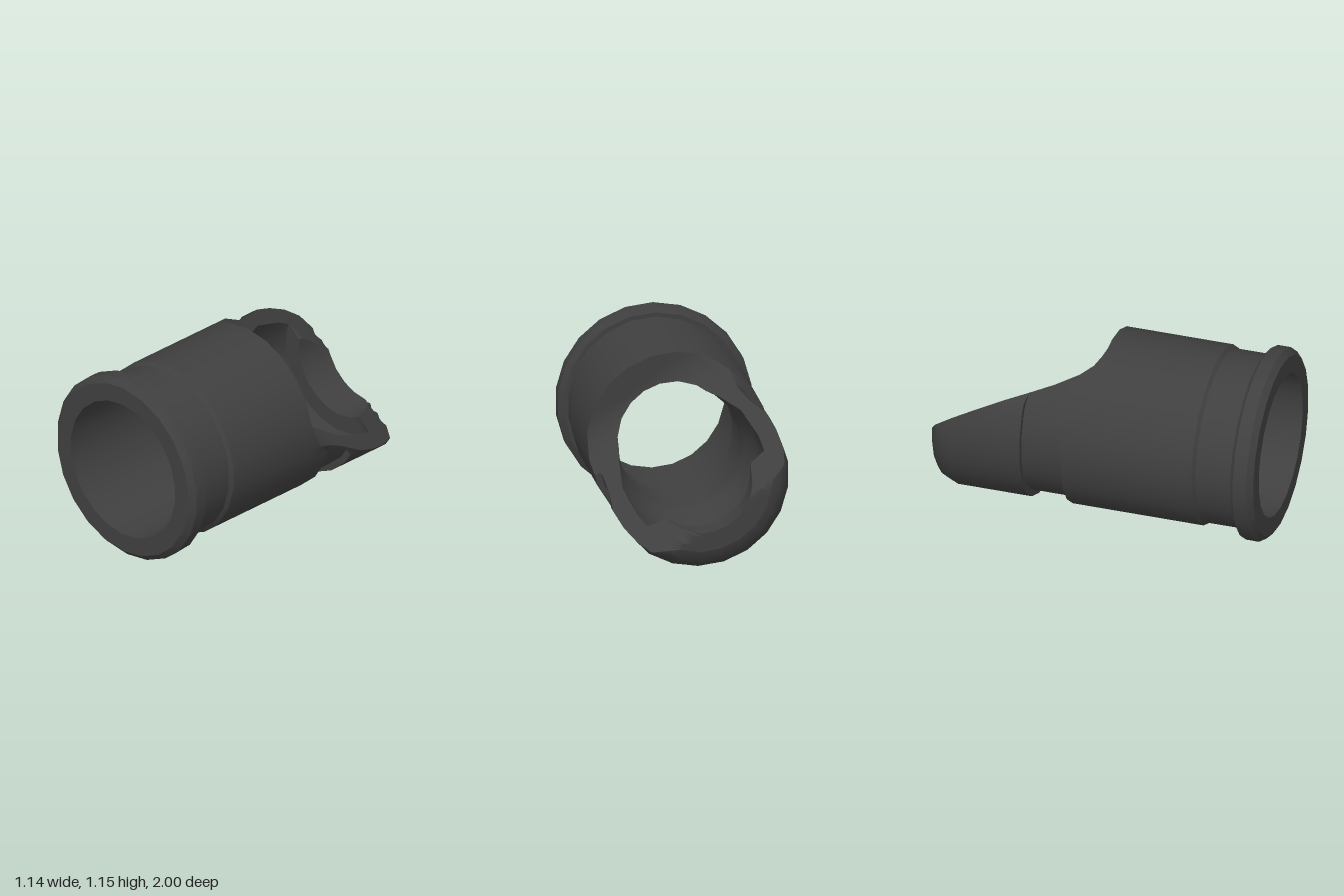
import * as THREE from 'three';
import { toCreasedNormals } from 'three/addons/utils/BufferGeometryUtils.js';

const SIDES = 22, COLS = SIDES * 2;       // 22-sided tube, one extra column mid-facet
const AXIS_Y = 0.575;                     // height of the tube axis
const CUT_DIR = THREE.MathUtils.degToRad(56); // direction the slanted mouth opens towards

// Slanted mouth: [distance from axis along CUT_DIR, z of the cut there]
const CUT = [[-0.24, -1], [0.18, -0.18], [0.23, -0.11], [0.29, -0.06], [0.37, -0.03], [0.6, -0.03]];

// Profiles as [z, radius], front to back
const COLLAR = [[1, 0.43], [1, 0.54], [0.965, 0.575], [0.885, 0.575], [0.86, 0.54], [0.86, 0.515]];
const SLEEVE = [[0.86, 0.515], [0.64, 0.515], [0.62, 0.535], [-0.18, 0.535], [-0.18, 0.495],
  [-0.43, 0.495], [-0.43, 0.535], [-0.88, 0.535], [-0.95, 0.505], [-0.985, 0.465], [-1, 0.42]];
const BORE = [[1, 0.43], [0.2, 0.43], [0.2, 0.36], [-0.18, 0.365], [-0.43, 0.42],
  [-0.78, 0.43], [-0.78, 0.325], [-1, 0.31]];

const lerp = THREE.MathUtils.lerp;

function cutZ(d) {
  if (d <= CUT[0][0]) return CUT[0][1];
  for (let i = 1; i < CUT.length; i++) {
    const [d0, z0] = CUT[i - 1], [d1, z1] = CUT[i];
    if (d <= d1) return lerp(z0, z1, (d - d0) / (d1 - d0));
  }
  return CUT[CUT.length - 1][1];
}

// Angle of a column and the polygon's radius factor there
const angleOf = (c) => -Math.PI / 2 + (c / COLS) * Math.PI * 2;
const facet = (c) => (c % 2 ? Math.cos(Math.PI / SIDES) : 1);
const cutAt = (r, c) => cutZ(r * facet(c) * Math.cos(angleOf(c) - CUT_DIR));

// Split long profile spans into short steps
function resample(profile) {
  const out = [profile[0]];
  for (let i = 1; i < profile.length; i++) {
    const [z0, r0] = profile[i - 1], [z1, r1] = profile[i];
    const n = Math.max(1, Math.ceil(Math.abs(z1 - z0) / 0.04));
    for (let k = 1; k <= n; k++) out.push([lerp(z0, z1, k / n), lerp(r0, r1, k / n)]);
  }
  return out;
}

// Follow a profile down one column and stop where it meets the cut
function trim(points, c) {
  const out = [];
  let end = null;
  points.forEach(([z, r], i) => {
    if (!end && i > 0 && z < cutAt(r, c) - 1e-6) {
      const [pz, pr] = points[i - 1];
      let lo = 0, hi = 1;
      for (let k = 0; k < 24; k++) {
        const m = (lo + hi) / 2, mr = lerp(pr, r, m);
        if (lerp(pz, z, m) < cutAt(mr, c)) hi = m; else lo = m;
      }
      end = [lerp(pz, z, lo), lerp(pr, r, lo)];
    }
    out.push(end || [z, r]);
  });
  return out;
}

// Skin a ring of columns, each a list of [z, radius]
function skin(columns) {
  const grid = columns.map((col, c) => col.map(([z, r]) => {
    const a = angleOf(c), q = r * facet(c);
    return new THREE.Vector3(Math.cos(a) * q, AXIS_Y + Math.sin(a) * q, z);
  }));
  const pos = [];
  const tri = (a, b, c) => {
    const area = b.clone().sub(a).cross(c.clone().sub(a)).length();
    if (area > 1e-8) for (const p of [a, b, c]) pos.push(p.x, p.y, p.z);
  };
  for (let c = 0; c < COLS; c++) {
    const A = grid[c], B = grid[(c + 1) % COLS];
    for (let j = 0; j < A.length - 1; j++) {
      tri(A[j], A[j + 1], B[j + 1]);
      tri(A[j], B[j + 1], B[j]);
    }
  }
  const geo = new THREE.BufferGeometry();
  geo.setAttribute('position', new THREE.Float32BufferAttribute(pos, 3));
  return toCreasedNormals(geo, THREE.MathUtils.degToRad(32));
}

export function createModel() {
  const group = new THREE.Group();
  group.name = 'slantedMuzzle';
  const steel = new THREE.MeshStandardMaterial({ color: 0x3f3f3f });
  steel.name = 'dark steel';

  const ring = [...Array(COLS).keys()];
  const collar = ring.map(() => COLLAR);
  const sleevePts = resample(SLEEVE), borePts = resample(BORE);
  const sleeve = ring.map((c) => trim(sleevePts, c));
  const bore = ring.map((c) => trim(borePts, c));

  // Cut face joins the sleeve's end to the bore's end
  const mouth = ring.map((c) => {
    const o = sleeve[c][sleeve[c].length - 1], i = bore[c][bore[c].length - 1];
    const n = 8, col = [o];
    for (let k = 1; k < n; k++) {
      const r = lerp(o[1], i[1], k / n);
      col.push([cutAt(r, c), r]);
    }
    return [...col, i];
  });

  const parts = { collar, sleeve, mouth, bore: bore.map((col) => [...col].reverse()) };
  for (const [name, columns] of Object.entries(parts)) {
    const mesh = new THREE.Mesh(skin(columns), steel);
    mesh.name = name;
    group.add(mesh);
  }
  return group;
}
